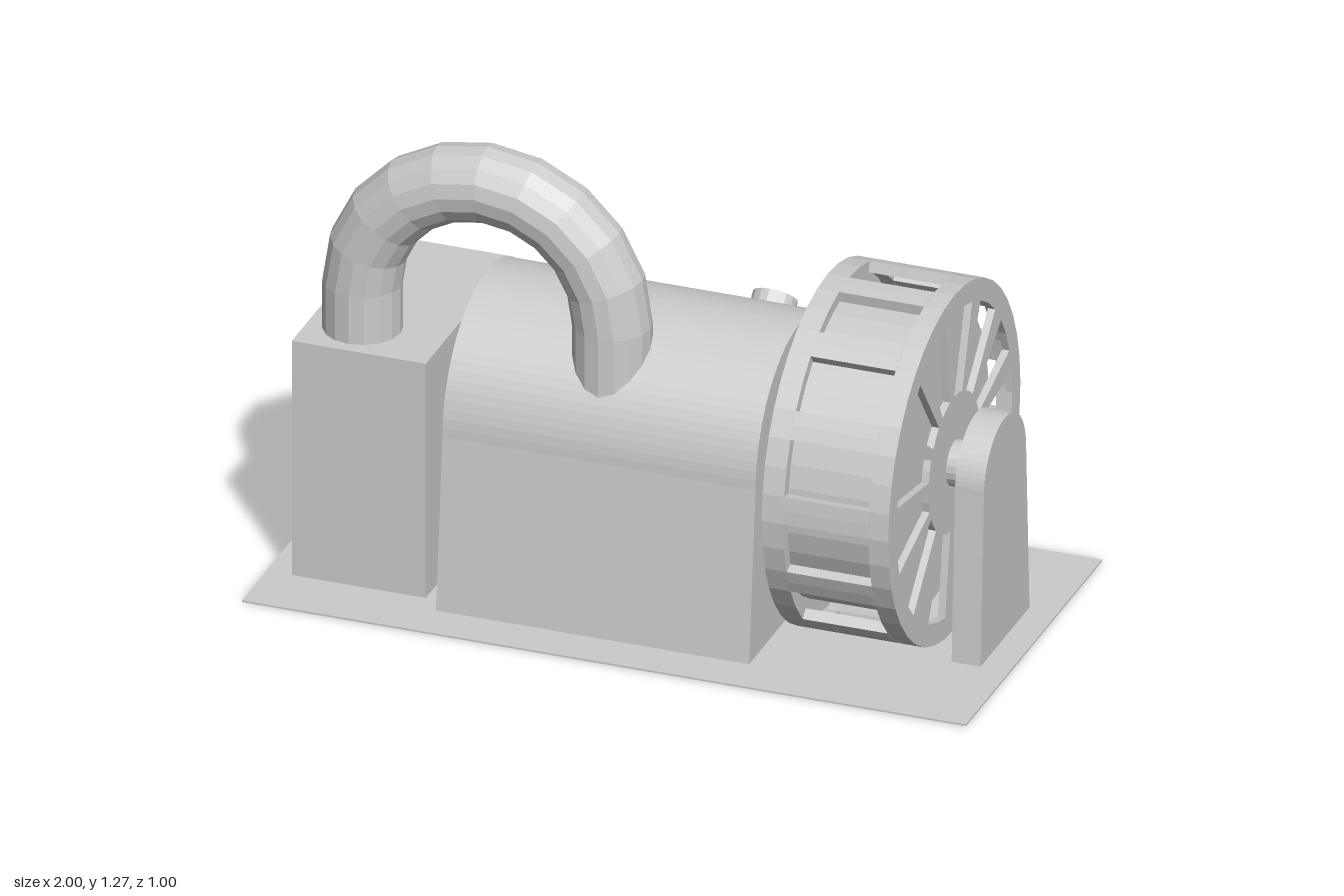
import * as THREE from 'three';

const material = new THREE.MeshStandardMaterial({ color: 0xcccccc, flatShading: true });
const rad = THREE.MathUtils.degToRad;
const axleY = 0.487;

function add(parent, name, geometry, x = 0, y = 0, z = 0) {
  const mesh = new THREE.Mesh(geometry, material);
  mesh.name = name;
  mesh.position.set(x, y, z);
  parent.add(mesh);
  return mesh;
}

// Extrudes a side profile along x; profile coordinates are (-z, y).
function alongX(shape, x0, x1, curveSegments = 12) {
  return new THREE.ExtrudeGeometry(shape, { depth: x1 - x0, bevelEnabled: false, curveSegments })
    .rotateY(Math.PI / 2).translate(x0, 0, 0);
}

function polygon(points) {
  return new THREE.Shape(points.map(([u, v]) => new THREE.Vector2(u, v)));
}

// Flared sides with a round top.
function archShape(baseHalf, radius) {
  const shape = new THREE.Shape();
  shape.moveTo(-baseHalf, 0);
  shape.lineTo(baseHalf, 0);
  shape.lineTo(radius, axleY);
  shape.absarc(0, axleY, radius, 0, Math.PI, false);
  return shape;
}

// Piece of a ring between two angles given in degrees.
function sectorShape(r0, r1, a0, a1, Type = THREE.Shape) {
  const points = [];
  const mid = (a0 + a1) / 2;
  for (const [r, a] of [[r0, a0], [r1, a0], [r1, mid], [r1, a1], [r0, a1], [r0, mid]])
    points.push(new THREE.Vector2(r * Math.cos(rad(a)), r * Math.sin(rad(a))));
  return new Type(points);
}

function discShape(radius, holeRadius = 0) {
  const shape = new THREE.Shape().absarc(0, 0, radius, 0, Math.PI * 2, false);
  if (holeRadius) shape.holes.push(new THREE.Path().absarc(0, 0, holeRadius, 0, Math.PI * 2, true));
  return shape;
}

function createWheel() {
  const wheel = new THREE.Group();
  wheel.name = 'ventilatedWheel';
  wheel.position.y = axleY;
  const outer = 0.485, inner = 0.455;

  // closed back, solid core, and the two edge rings of the rim
  add(wheel, 'wheelBack', alongX(discShape(outer), 0.43, 0.45, 20));
  add(wheel, 'wheelCore', alongX(discShape(0.41), 0.45, 0.72, 20));
  add(wheel, 'rimRingBack', alongX(discShape(outer, inner), 0.45, 0.49, 20));
  add(wheel, 'rimRingFront', alongX(discShape(outer, inner), 0.725, 0.76, 20));

  // bars between the rim windows
  for (let k = -1; k <= 12; k++)
    add(wheel, 'rimBar', alongX(sectorShape(inner, outer, 198 - 27 * k, 207 - 27 * k), 0.49, 0.725));

  // outer face with wedge slots in line with the rim windows
  const face = discShape(outer);
  for (let k = 0; k <= 12; k++)
    face.holes.push(sectorShape(0.19, 0.425, 207 - 27 * k, 225 - 27 * k, THREE.Path));
  add(wheel, 'slottedFace', alongX(face, 0.76, 0.78, 20));
  return wheel;
}

function createPipe() {
  const pipe = new THREE.Group();
  pipe.name = 'bentPipe';
  pipe.position.set(-0.442, 0.82, 0.18);
  const bend = 0.345, r = 0.105;
  add(pipe, 'pipeBend', new THREE.TorusGeometry(bend, r, 16, 10, Math.PI));
  add(pipe, 'pipeLegCabinet', new THREE.CylinderGeometry(r, r, 0.15, 16), -bend, -0.075);
  add(pipe, 'pipeLegBody', new THREE.CylinderGeometry(r, r, 0.22, 16), bend, -0.11);
  return pipe;
}

function createCabinet() {
  const cabinet = new THREE.Group();
  cabinet.name = 'cabinet';
  const full = polygon([[-0.32, 0], [0.33, 0], [0.33, 0.685], [-0.32, 0.685]]);
  // middle section has a recessed panel with a sloping ledge at the back
  const recessed = polygon([[-0.32, 0], [0.33, 0], [0.33, 0.28], [0.285, 0.325],
    [0.285, 0.505], [0.33, 0.505], [0.33, 0.685], [-0.32, 0.685]]);
  add(cabinet, 'cabinetSide', alongX(full, -0.93, -0.905));
  add(cabinet, 'cabinetMiddle', alongX(recessed, -0.905, -0.585));
  add(cabinet, 'cabinetSide', alongX(full, -0.585, -0.56));
  return cabinet;
}

function createValveBlock() {
  const valves = new THREE.Group();
  valves.name = 'valveBlock';
  const profile = polygon([[0.33, 0], [0.48, 0], [0.465, 0.115], [0.368, 0.165], [0.33, 0.165]]);
  add(valves, 'valveHousing', alongX(profile, -0.35, 0.25));
  // tilted round knobs
  for (const x of [-0.22, -0.095, 0.03, 0.15]) {
    const knob = add(valves, 'knob', new THREE.CylinderGeometry(0.039, 0.039, 0.12, 16), x, 0.165, -0.43);
    knob.rotation.x = rad(-28);
  }
  return valves;
}

export function createModel() {
  const model = new THREE.Group();
  model.name = 'generator';

  add(model, 'basePlate', new THREE.BoxGeometry(2, 0.005, 1), 0, 0.0025, 0);
  add(model, 'body', alongX(archShape(0.378, 0.33), -0.51, 0.355, 20));
  add(model, 'axleSupport', alongX(archShape(0.18, 0.155), 0.84, 0.92, 16));
  add(model, 'axle', new THREE.CylinderGeometry(0.062, 0.062, 0.55, 20).rotateZ(Math.PI / 2), 0.6, axleY, 0);

  // round caps on the rear shoulder of the body
  for (const x of [-0.33, 0.19]) {
    const reach = 0.335 * Math.SQRT1_2;
    const cap = add(model, 'shoulderCap', new THREE.CylinderGeometry(0.06, 0.06, 0.05, 16), x, axleY + reach, -reach);
    cap.rotation.x = rad(-45);
  }

  model.add(createWheel(), createPipe(), createCabinet(), createValveBlock());
  return model;
}
